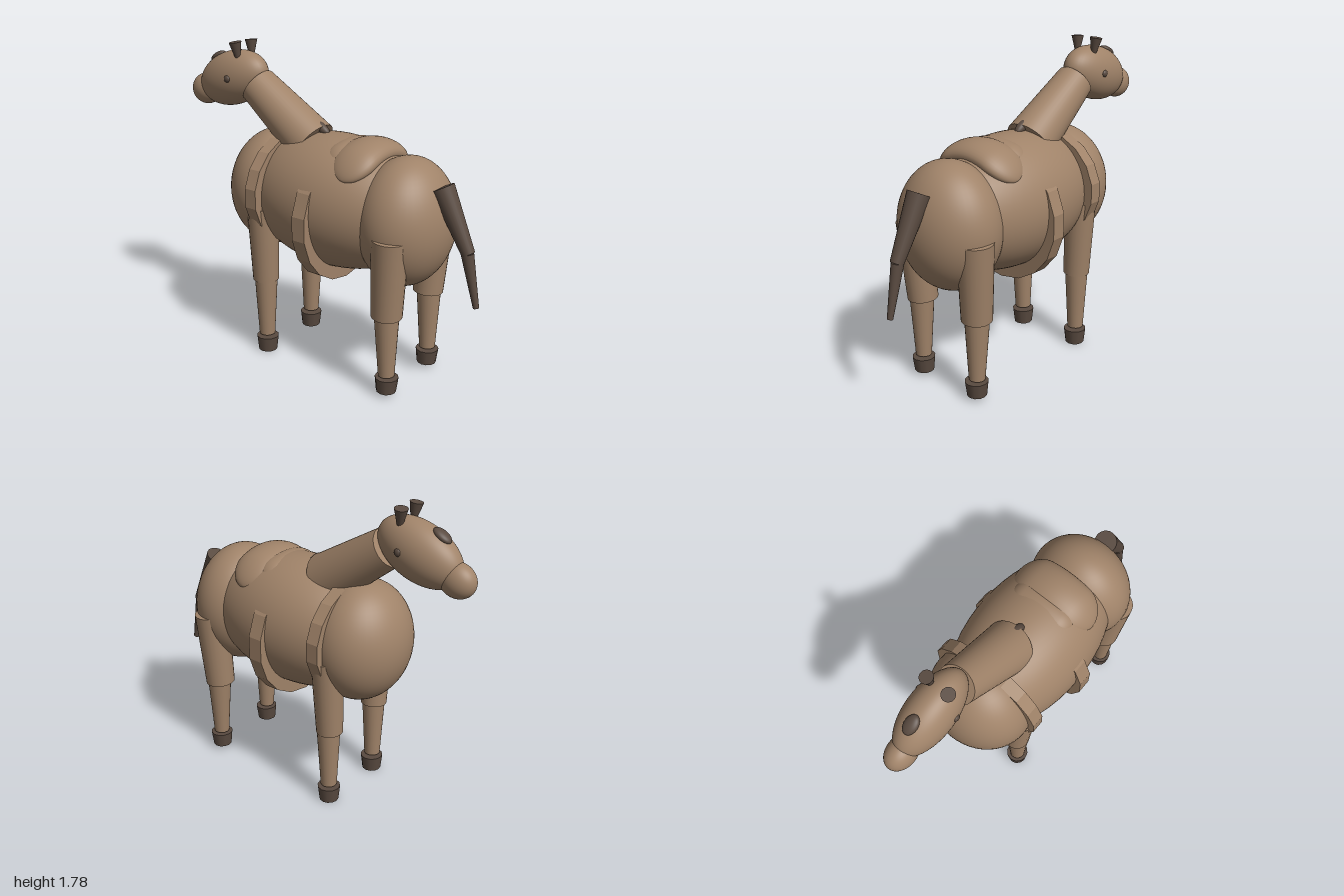
import * as THREE from 'three';

const brown = new THREE.MeshStandardMaterial({ name: 'brownCoat', color: 0xa08369 });
const dark = new THREE.MeshStandardMaterial({ name: 'darkBrown', color: 0x594a40 });

export function createModel() {
  const model = new THREE.Group();
  model.name = 'horse';

  const add = (name, geometry, material) => {
    const mesh = new THREE.Mesh(geometry, material);
    mesh.name = name;
    model.add(mesh);
    return mesh;
  };

  // Ellipsoid with radii and an optional tilt about x
  const ellipsoid = (name, material, pos, radii, tilt = 0) => {
    const mesh = add(name, new THREE.SphereGeometry(1, 48, 32), material);
    mesh.position.set(...pos);
    mesh.scale.set(...radii);
    mesh.rotation.x = tilt;
    return mesh;
  };

  // Tapered round limb running from point a (radius ra) to point b (radius rb)
  const limb = (name, material, a, ra, b, rb, sides = 24) => {
    const from = new THREE.Vector3(...a), to = new THREE.Vector3(...b);
    const dir = to.clone().sub(from);
    const mesh = add(name, new THREE.CylinderGeometry(rb, ra, dir.length(), sides), material);
    mesh.position.copy(from).add(to).multiplyScalar(0.5);
    mesh.quaternion.setFromUnitVectors(new THREE.Vector3(0, 1, 0), dir.normalize());
    return mesh;
  };

  // Faceted band around the body, only showing where it stands proud of it
  const band = (name, y, z, rx, ry, width) => {
    const g = new THREE.CylinderGeometry(1, 1, width, 18);
    g.rotateX(Math.PI / 2);
    g.scale(rx, ry, 1);
    const flat = g.toNonIndexed();
    flat.computeVertexNormals();
    add(name, flat, brown).position.set(0, y, z);
  };

  // Capsule lying across the back, its ends drooping over the sides
  const drapedPad = (name, y, z, halfWidth, ry, rz, droop) => {
    const g = new THREE.CapsuleGeometry(rz, 2 * (halfWidth - rz), 12, 32, 16);
    g.rotateZ(Math.PI / 2);
    g.scale(1, ry / rz, 1);
    const p = g.attributes.position;
    for (let i = 0; i < p.count; i++) p.setY(i, p.getY(i) - droop * p.getX(i) ** 2);
    g.computeVertexNormals();
    add(name, g, brown).position.set(0, y, z);
  };

  // Body
  ellipsoid('barrel', brown, [0, 0.965, 0.09], [0.345, 0.375, 0.59]);
  ellipsoid('rump', brown, [0, 0.94, 0.543], [0.305, 0.355, 0.255]);
  ellipsoid('chest', brown, [0, 0.963, -0.335], [0.305, 0.343, 0.27]);

  // Saddle and straps
  drapedPad('saddle', 1.283, 0.3, 0.258, 0.072, 0.132, 1.5);
  drapedPad('saddleFront', 1.288, 0.19, 0.2, 0.05, 0.08, 1.2);
  band('girthStrap', 0.897, 0.107, 0.383, 0.383, 0.085);
  band('shoulderStrap', 0.98, -0.263, 0.345, 0.315, 0.075);

  // Neck and mane tufts
  limb('neck', brown, [0, 1.25, -0.092], 0.145, [0, 1.53, -0.49], 0.11, 40);
  ellipsoid('maneTuft', dark, [0, 1.352, -0.025], [0.027, 0.026, 0.058], 0.55);
  ellipsoid('maneTuft', dark, [0, 1.415, -0.125], [0.018, 0.02, 0.032], 0.55);

  // Head
  ellipsoid('head', brown, [0, 1.55, -0.675], [0.125, 0.156, 0.254], -0.342);
  ellipsoid('muzzle', brown, [0, 1.458, -0.897], [0.076, 0.092, 0.103], -0.2);
  ellipsoid('forelock', dark, [0, 1.663, -0.797], [0.037, 0.022, 0.056], -0.53);

  for (const s of [-1, 1]) {
    const side = s > 0 ? 'left' : 'right';
    ellipsoid(side + 'Eye', dark, [s * 0.117, 1.567, -0.622], [0.015, 0.021, 0.021]);
    limb(side + 'Ear', dark, [s * 0.058, 1.68, -0.588], 0.014, [s * 0.067, 1.773, -0.598], 0.036);

    // Hind leg
    limb(side + 'HindThigh', brown, [s * 0.205, 0.47, 0.567], 0.085, [s * 0.225, 0.92, 0.59], 0.1);
    limb(side + 'HindShin', brown, [s * 0.207, 0.12, 0.575], 0.045, [s * 0.21, 0.5, 0.57], 0.07);
    limb(side + 'HindHoof', dark, [s * 0.205, 0.023, 0.575], 0.055, [s * 0.205, 0.108, 0.577], 0.065, 12);

    // Foreleg
    limb(side + 'ForeThigh', brown, [s * 0.205, 0.455, -0.28], 0.075, [s * 0.225, 0.91, -0.275], 0.09);
    limb(side + 'ForeShin', brown, [s * 0.207, 0.105, -0.278], 0.046, [s * 0.21, 0.5, -0.275], 0.068);
    limb(side + 'ForeHoof', dark, [s * 0.205, 0, -0.278], 0.055, [s * 0.205, 0.088, -0.277], 0.065, 12);
  }

  // Tail in two tapering lengths
  limb('tailUpper', dark, [0, 1.17, 0.752], 0.064, [0, 0.845, 0.92], 0.036);
  limb('tailLower', dark, [0, 0.845, 0.915], 0.034, [0, 0.56, 0.982], 0.016);

  return model;
}
